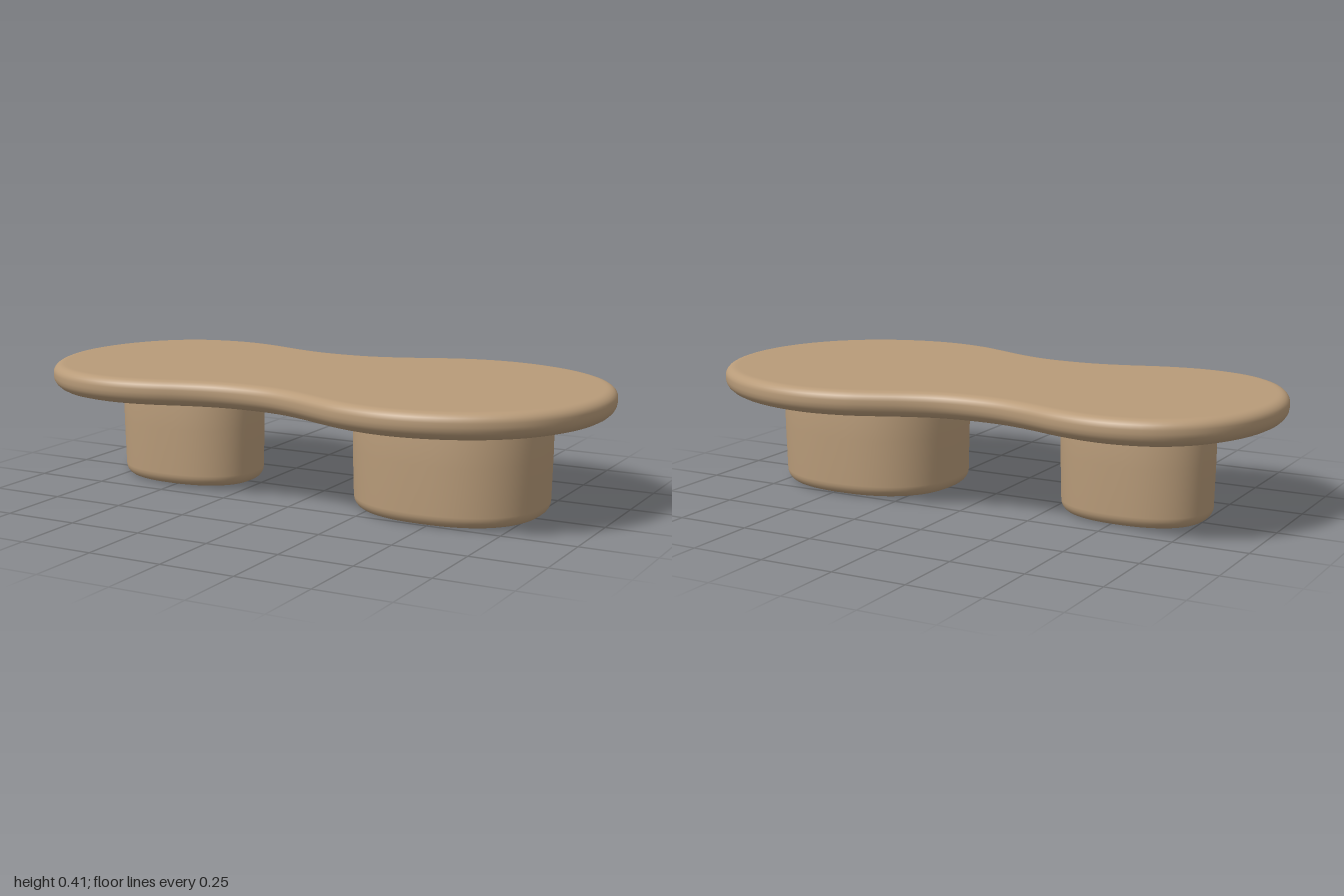
import * as THREE from 'three';

// Closed solid: one outline (Vector2 = x, z) stacked upwards through [inset, y] steps.
function loft(outline, profile) {
  const n = outline.length;
  const normals = outline.map((p, j) => {
    const t = outline[(j + 1) % n].clone().sub(outline[(j + n - 1) % n]).normalize();
    return new THREE.Vector2(t.y, -t.x);
  });
  const center = outline.reduce((s, p) => s.add(p), new THREE.Vector2()).divideScalar(n);
  const positions = [];
  const index = [];
  for (const [inset, y] of profile) {
    outline.forEach((p, j) => positions.push(p.x - normals[j].x * inset, y, p.y - normals[j].y * inset));
  }
  const last = profile.length - 1;
  for (let i = 0; i < last; i++) {
    for (let j = 0; j < n; j++) {
      const k = (j + 1) % n;
      const a = i * n + j, b = i * n + k, c = a + n, d = b + n;
      index.push(a, c, b, b, c, d);
    }
  }
  const bottom = positions.length / 3;
  positions.push(center.x, profile[0][1], center.y, center.x, profile[last][1], center.y);
  for (let j = 0; j < n; j++) {
    const k = (j + 1) % n;
    index.push(bottom, j, k, bottom + 1, last * n + k, last * n + j);
  }
  const geometry = new THREE.BufferGeometry();
  geometry.setAttribute('position', new THREE.Float32BufferAttribute(positions, 3));
  geometry.setIndex(index);
  geometry.computeVertexNormals();
  return geometry;
}

// Rounded corner as [inset, y] steps, between two angles in degrees.
function corner(inset, y, rx, ry, from, to, steps = 6) {
  return Array.from({ length: steps + 1 }, (_, i) => {
    const a = THREE.MathUtils.degToRad(from + ((to - from) * i) / steps);
    return [inset + rx * (1 - Math.cos(a)), y + ry * Math.sin(a)];
  });
}

// Peanut outline: half given, other half mirrored in z.
function peanutOutline() {
  const half = [
    [1, 0], [0.985, 0.12], [0.945, 0.23], [0.87, 0.34], [0.75, 0.435], [0.6, 0.495], [0.45, 0.513],
    [0.3, 0.49], [0.2, 0.452], [0.1, 0.41], [0, 0.38], [-0.1, 0.371], [-0.2, 0.376], [-0.3, 0.398],
    [-0.43, 0.438], [-0.55, 0.457], [-0.66, 0.45], [-0.77, 0.415], [-0.87, 0.34], [-0.94, 0.24],
    [-0.985, 0.12], [-1, 0],
  ];
  const mirrored = half.slice(1, -1).reverse().map(([x, z]) => [x, -z]);
  const points = [...half, ...mirrored].map(([x, z]) => new THREE.Vector3(x, 0, z));
  const curve = new THREE.CatmullRomCurve3(points, true);
  return curve.getSpacedPoints(160).slice(0, 160).map((p) => new THREE.Vector2(p.x, p.z));
}

// Slightly squared oval.
function ovalOutline(cx, rx, rz, power = 2.3) {
  const bend = (v) => Math.sign(v) * Math.abs(v) ** (2 / power);
  return Array.from({ length: 72 }, (_, i) => {
    const a = (i / 72) * Math.PI * 2;
    return new THREE.Vector2(cx + rx * bend(Math.cos(a)), rz * bend(Math.sin(a)));
  });
}

export function createModel() {
  const group = new THREE.Group();
  const wood = new THREE.MeshStandardMaterial({ color: 0xb89b79 });
  wood.name = 'warm wood';

  const add = (name, geometry) => {
    const mesh = new THREE.Mesh(geometry, wood);
    mesh.name = name;
    group.add(mesh);
  };

  // Table top with a soft rim, rounder underneath
  add('tableTop', loft(peanutOutline(), [
    [0.1, 0.323],
    ...corner(0, 0.372, 0.07, 0.049, -90, 0),
    ...corner(0, 0.385, 0.035, 0.029, 0, 90),
    [0.045, 0.414],
  ]));

  // Pedestal legs with rounded feet
  const legProfile = [
    [0.055, 0],
    ...corner(0.004, 0.04, 0.04, 0.04, -90, 0),
    [0, 0.2], [0, 0.33], [0.01, 0.35],
  ];
  add('largeLeg', loft(ovalOutline(0.475, 0.325, 0.276), legProfile));
  add('smallLeg', loft(ovalOutline(-0.522, 0.256, 0.19), legProfile));

  return group;
}
